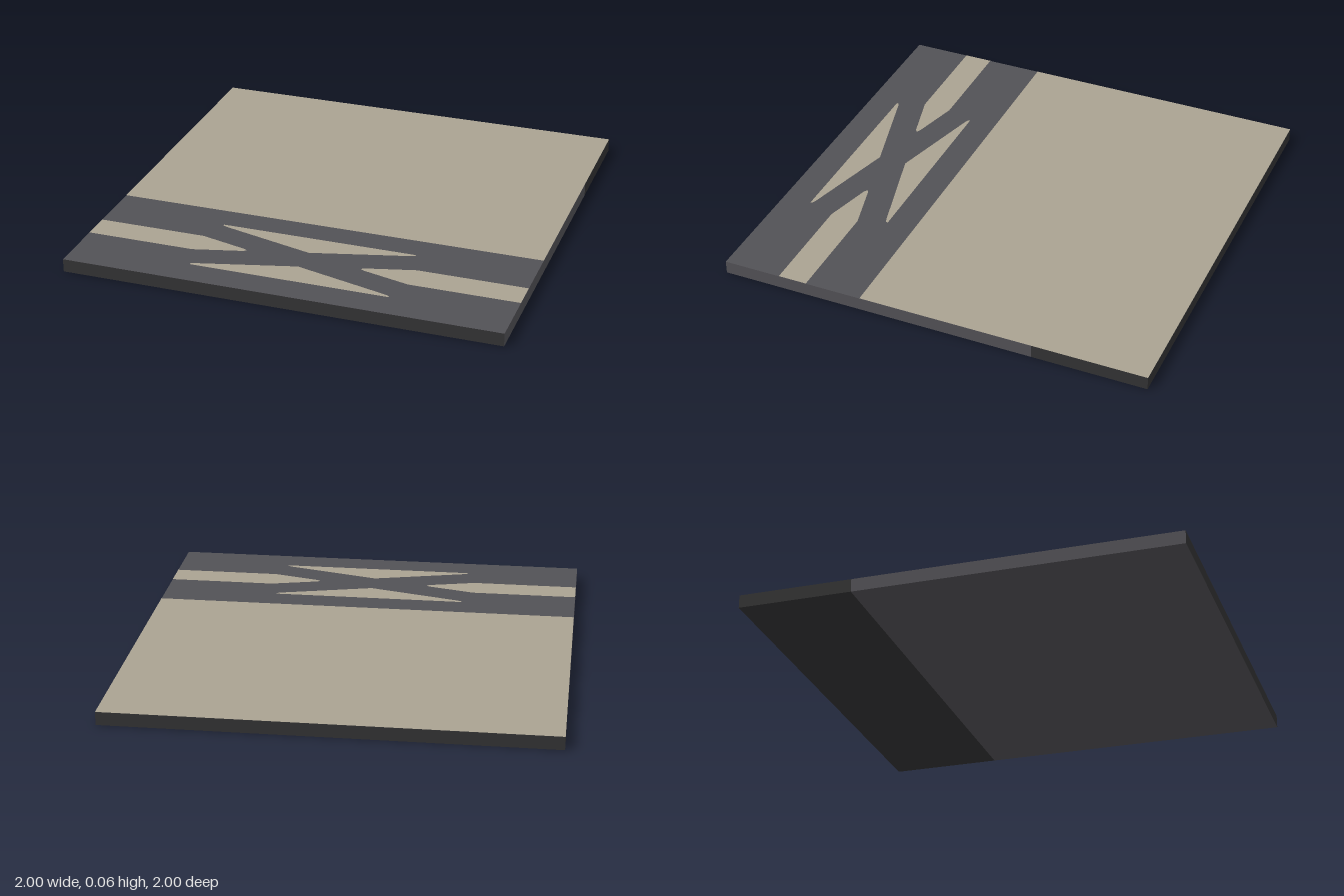
import * as THREE from 'three';

const HEIGHT = 0.0615;
const PAINT_GAP = 0.001;

export function createModel() {
  const model = new THREE.Group();
  model.name = 'floorTile';

  const material = (name, color) => {
    const m = new THREE.MeshStandardMaterial({ color });
    m.name = name;
    return m;
  };
  const sand = material('sand', 0xaaa291);
  const slate = material('slate', 0x525156);
  const charcoal = material('charcoal', 0x333334);

  const add = (name, geometry, mat) => {
    const mesh = new THREE.Mesh(geometry, mat);
    mesh.name = name;
    model.add(mesh);
    return mesh;
  };

  // Slab in two lengths, with a charcoal front edge and a charcoal rear
  const bodyHeight = HEIGHT - PAINT_GAP;
  const slab = (name, z0, z1, mat) => {
    const box = add(name, new THREE.BoxGeometry(2, bodyHeight, z1 - z0), mat);
    box.position.set(0, bodyHeight / 2, (z0 + z1) / 2);
  };
  slab('mainSlab', -0.475, 1, [slate, slate, slate, slate, charcoal, slate]);
  slab('rearSlab', -1, -0.475, charcoal);

  // Flat inlay outlined by [x, z] points, facing up
  const inlay = (name, points) => {
    const shape = new THREE.Shape(points.map(([x, z]) => new THREE.Vector2(x, -z)));
    const geometry = new THREE.ShapeGeometry(shape);
    geometry.rotateX(-Math.PI / 2);
    add(name, geometry, sand).position.y = HEIGHT;
  };

  // Large plain panel
  inlay('mainPanel', [[-1, -1], [1, -1], [1, 0.335], [-1, 0.335]]);

  // Crossing pattern, mirrored about the centre line of the dark band
  const middle = 0.665;
  for (const side of [-1, 1]) {
    const end = [
      [1, -0.067], [0.5, -0.067], [0.28, -0.01], [0.265, 0],
      [0.28, 0.01], [0.5, 0.067], [1, 0.067],
    ];
    inlay(side < 0 ? 'rightStrip' : 'leftStrip',
      end.map(([x, z]) => [side * x, middle + z]));

    const wedge = [
      [0, 0.067], [0.435, 0.182], [0.455, 0.19], [0.455, 0.199],
      [-0.455, 0.199], [-0.455, 0.19], [-0.435, 0.182],
    ];
    inlay(side < 0 ? 'rearWedge' : 'frontWedge',
      wedge.map(([x, z]) => [x, middle + side * z]));
  }

  return model;
}
